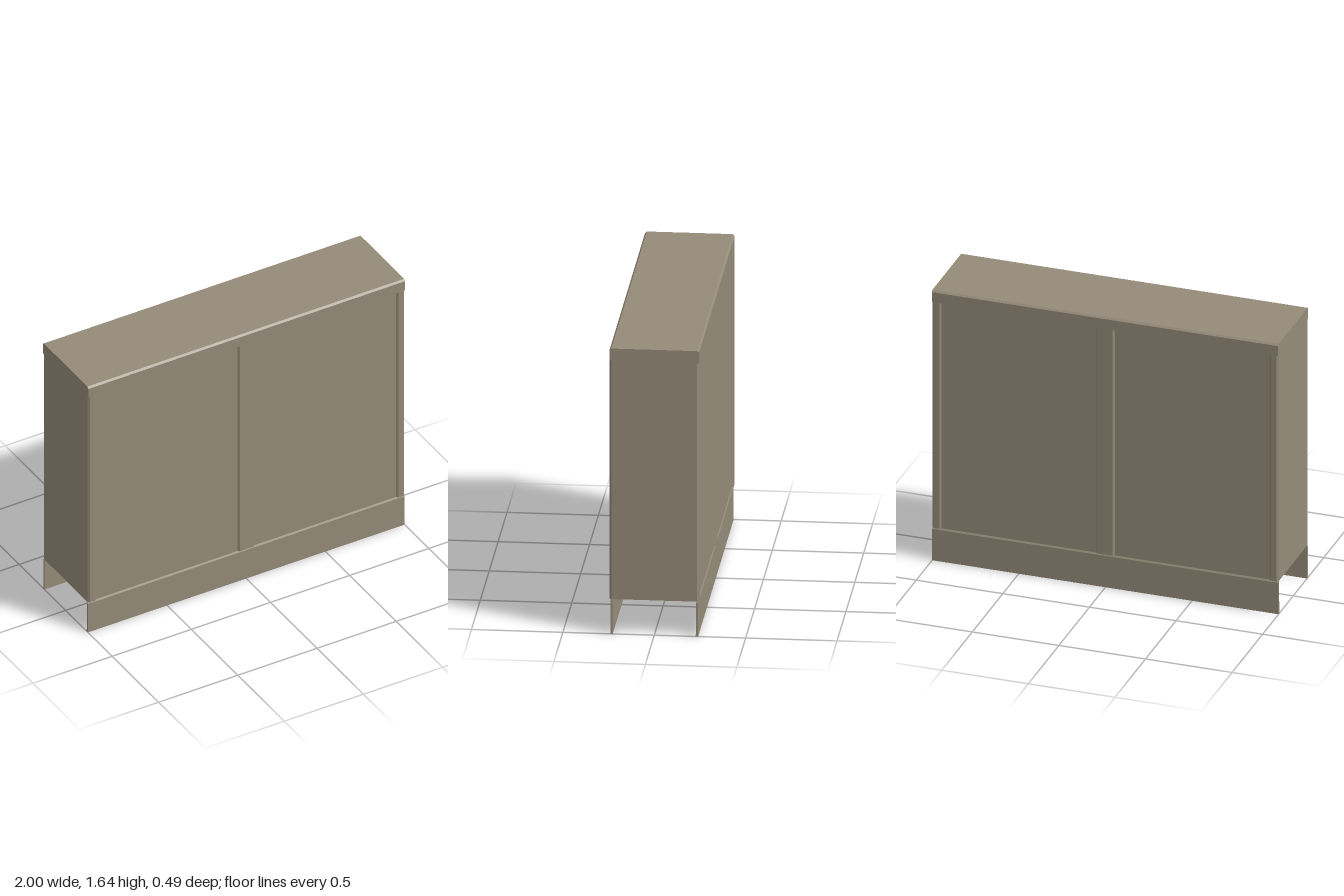
import * as THREE from 'three';

const HALF = 1;          // half length along x
const FACE = 0.235;      // recessed panel plane
const PROUD = 0.245;     // stile and rail face
const BASE = 0.2;        // underside of the body
const RAIL = 1.57;       // underside of the top rail
const TOP = 1.64;
const BEVEL = 0.01;

const toShape = (points) => new THREE.Shape(points.map(([a, b]) => new THREE.Vector2(a, b)));

// Sweep a [z, y] outline along the full length
function alongX(points) {
  const geo = new THREE.ExtrudeGeometry(toShape(points), { depth: 2 * HALF, bevelEnabled: false });
  return geo.rotateY(-Math.PI / 2).translate(HALF, 0, 0);
}

// Upright strip with sloped sides, standing proud of the +z panel
function stileGeometry(x0, x1) {
  const outline = [
    [x0, -FACE], [x0 + BEVEL, -PROUD], [x1 - BEVEL, -PROUD], [x1, -FACE],
  ];
  const geo = new THREE.ExtrudeGeometry(toShape(outline), { depth: RAIL - BASE, bevelEnabled: false });
  return geo.rotateX(-Math.PI / 2).translate(0, BASE, 0);
}

export function createModel() {
  const model = new THREE.Group();
  model.name = 'panelledBarrier';
  const paint = new THREE.MeshStandardMaterial({ color: 0x958b79 });
  paint.name = 'taupePaint';

  const add = (parent, name, geometry) => {
    const mesh = new THREE.Mesh(geometry, paint);
    mesh.name = name;
    parent.add(mesh);
  };

  // Core block with the overhanging, chamfered top rail
  add(model, 'bodyAndTopRail', alongX([
    [-FACE, BASE], [FACE, BASE], [FACE, RAIL], [PROUD, RAIL],
    [PROUD, TOP - BEVEL], [PROUD - BEVEL, TOP], [BEVEL - PROUD, TOP],
    [-PROUD, TOP - BEVEL], [-PROUD, RAIL], [-FACE, RAIL],
  ]));

  // Stiles and skirt, the same on front and back
  for (const side of ['front', 'back']) {
    const face = new THREE.Group();
    face.name = side + 'Face';
    if (side === 'back') face.rotation.y = Math.PI;
    add(face, 'rightStile', stileGeometry(-HALF, -0.947));
    add(face, 'middleStile', stileGeometry(-0.053, 0.053));
    add(face, 'leftStile', stileGeometry(0.947, HALF));
    add(face, 'skirt', alongX([
      [0.227, 0], [0.24, 0], [0.24, 0.19], [0.234, BASE], [0.23, BASE],
    ]));
    model.add(face);
  }
  return model;
}
